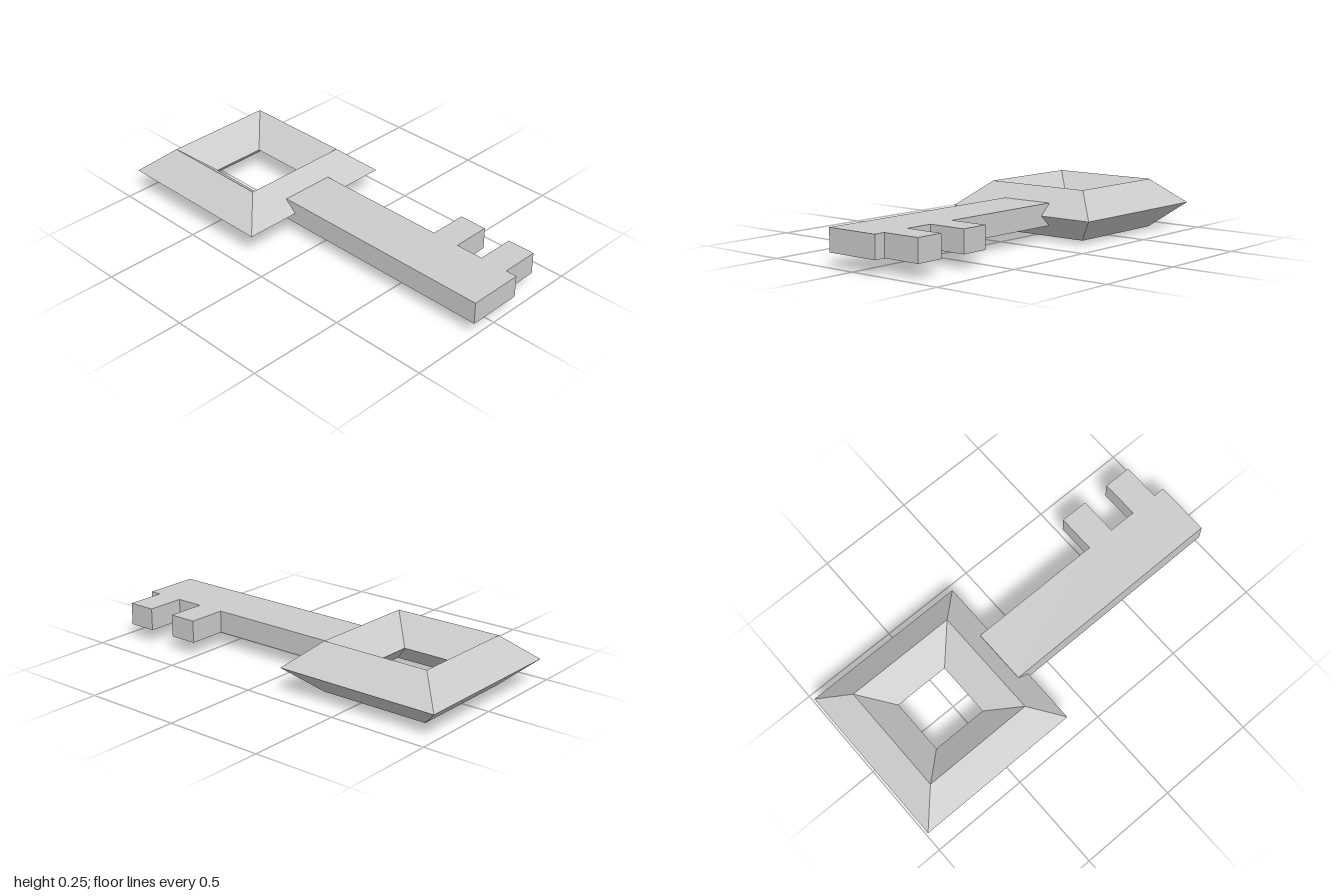
import * as THREE from 'three';

export function createModel() {
  const group = new THREE.Group();
  group.name = 'key';
  const material = new THREE.MeshStandardMaterial({ color: 0xcccccc, flatShading: true });

  // Square bow: a diamond section swept round four sides
  const outer = 0.43, mid = 0.287, inner = 0.143, height = 0.25;
  const section = [[mid, 0], [outer, height / 2], [mid, height], [inner, height / 2], [mid, 0]]
    .map(([r, y]) => new THREE.Vector2(r * Math.SQRT2, y));
  const bow = new THREE.Mesh(new THREE.LatheGeometry(section, 4, Math.PI / 4), material);
  bow.name = 'bow';
  bow.position.z = -0.57;
  group.add(bow);

  // Flat blade with two teeth on the left edge, outlined as [x, z]
  const edge = 0.142, tip = 0.34;
  const outline = [[-edge, -0.2], [-edge, 1], [edge, 1]];
  for (const [front, back] of [[0.942, 0.797], [0.652, 0.507]]) {
    outline.push([edge, front], [tip, front], [tip, back], [edge, back]);
  }
  outline.push([edge, -0.2]);
  const shape = new THREE.Shape(outline.map(([x, z]) => new THREE.Vector2(x, -z)));
  const bladeGeometry = new THREE.ExtrudeGeometry(shape, { depth: 0.113, bevelEnabled: false });
  bladeGeometry.rotateX(-Math.PI / 2);
  const blade = new THREE.Mesh(bladeGeometry, material);
  blade.name = 'bladeWithTeeth';
  blade.position.y = 0.07;
  group.add(blade);

  return group;
}
